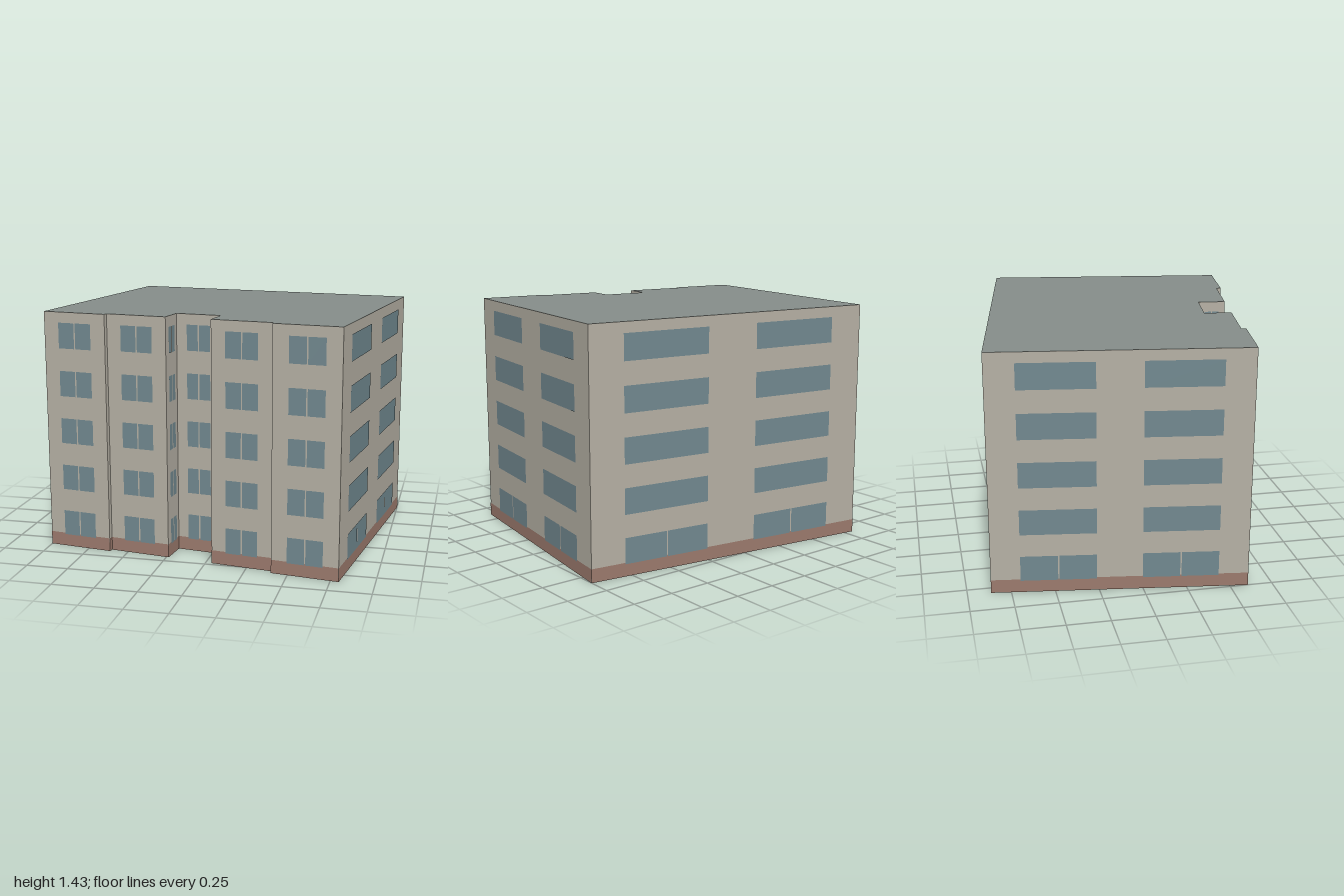
import * as THREE from 'three';

const HEIGHT = 1.43, FLOORS = 5, STOREY = HEIGHT / FLOORS;
const BASE = 0.08, SILL = 0.072, WINDOW_H = 0.152, MULLION = 0.008;

// Footprint corners [x, z], along the front from the right-hand corner, then round the back
const FOOTPRINT = [
  [-1, 0.605], [-0.61, 0.66], [-0.605, 0.632], [-0.237, 0.686],
  [-0.218, 0.522], [0.053, 0.56], [0.037, 0.725], [0.4, 0.778],
  [0.403, 0.806], [0.797, 0.86], [1, -0.608], [-0.808, -0.865],
];

export function createModel() {
  const building = new THREE.Group();
  building.name = 'apartmentBlock';

  const paint = (color, side = THREE.FrontSide) => new THREE.MeshStandardMaterial({ color, side });
  const wallPaint = paint(0xb5b0a4, THREE.DoubleSide);
  const roofPaint = paint(0x858d89, THREE.DoubleSide);
  const brick = paint(0x9b7a6d);
  const glass = paint(0x71888f);

  // Upright panel on a wall, between two distances along it
  function panel(parent, name, material, x0, x1, y0, y1, offset) {
    const mesh = new THREE.Mesh(new THREE.PlaneGeometry(x1 - x0, y1 - y0), material);
    mesh.position.set((x0 + x1) / 2, (y0 + y1) / 2, offset);
    mesh.name = name;
    parent.add(mesh);
  }

  // One window, optionally split into two panes
  function windowAt(parent, x0, x1, y, split) {
    const mid = (x0 + x1) / 2;
    const panes = split ? [[x0, mid - MULLION / 2], [mid + MULLION / 2, x1]] : [[x0, x1]];
    for (const [a, b] of panes) panel(parent, 'windowPane', glass, a, b, y, y + WINDOW_H, 0.003);
  }

  // Walls: each side is a group whose local x runs along the wall and z points outwards
  FOOTPRINT.forEach(([x, z], i) => {
    const [nextX, nextZ] = FOOTPRINT[(i + 1) % FOOTPRINT.length];
    const dx = nextX - x, dz = nextZ - z, length = Math.hypot(dx, dz);
    const side = new THREE.Group();
    side.name = 'facade' + (i + 1);
    side.position.set(x, 0, z);
    side.rotation.y = Math.atan2(-dz, dx);
    building.add(side);

    panel(side, 'wall', wallPaint, 0, length, 0, HEIGHT, 0);
    panel(side, 'brickBase', brick, 0, length, 0, BASE, 0.0015);

    if (length < 0.1) return; // small steps in the front have no windows
    const wide = length > 1;
    const bays = wide ? [[0.115, 0.41], [0.587, 0.883]] : [[0.238, 0.768]];
    for (let floor = 0; floor < FLOORS; floor++) {
      for (const [a, b] of bays) {
        windowAt(side, a * length, b * length, SILL + floor * STOREY, !wide || floor === 0);
      }
    }
  });

  // Flat roof
  const outline = new THREE.Shape(FOOTPRINT.map(([x, z]) => new THREE.Vector2(x, -z)));
  const roof = new THREE.Mesh(new THREE.ShapeGeometry(outline).rotateX(-Math.PI / 2), roofPaint);
  roof.position.y = HEIGHT;
  roof.name = 'roof';
  building.add(roof);

  return building;
}
